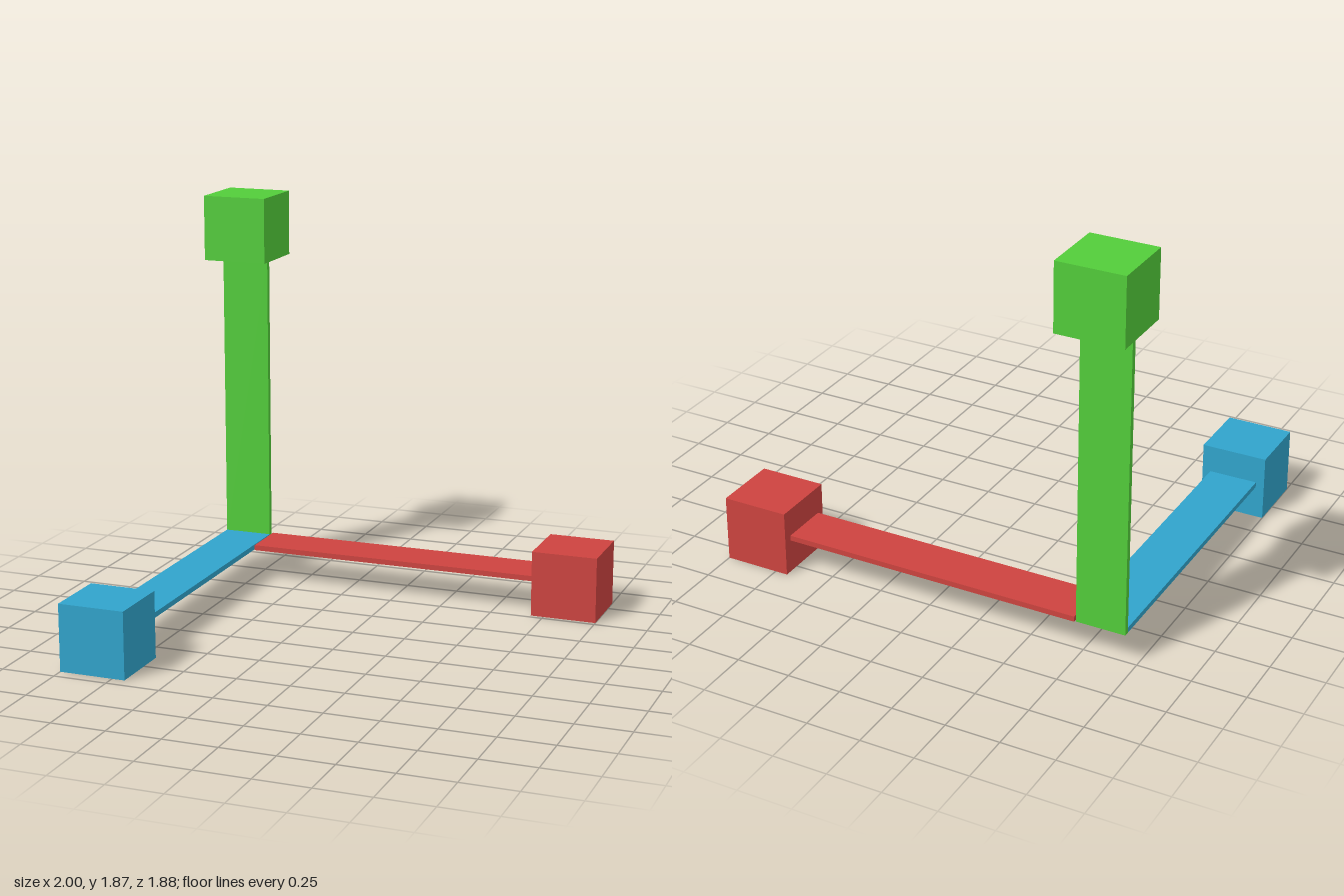
import * as THREE from 'three';

const CUBE = 0.31;

// Box spanning two opposite corners
function box(name, color, min, max) {
  const size = max.map((v, i) => v - min[i]);
  const mesh = new THREE.Mesh(
    new THREE.BoxGeometry(...size),
    new THREE.MeshStandardMaterial({ color, flatShading: true })
  );
  mesh.position.set(...max.map((v, i) => (v + min[i]) / 2));
  mesh.name = name;
  return mesh;
}

// One axis: a flat arm with a cube at its tip
function axis(name, color, armMin, armMax, cubeMin) {
  const group = new THREE.Group();
  group.name = name;
  group.add(
    box(name + 'Arm', color, armMin, armMax),
    box(name + 'Cube', color, cubeMin, cubeMin.map(v => v + CUBE))
  );
  return group;
}

export function createModel() {
  const model = new THREE.Group();
  model.name = 'axisMarker';
  model.add(
    // sideways arm, lying flat
    axis('sideways', 0xcc433f, [-0.725, 0.155, -0.79], [0.69, 0.18, -0.56], [0.69, 0, -0.832]),
    // upright arm, thin from front to back
    axis('upright', 0x52cc3a, [-0.96, 0.155, -0.785], [-0.73, 1.56, -0.76], [-1, 1.558, -0.942]),
    // forward arm, lying flat
    axis('forward', 0x30a3cb, [-0.96, 0.155, -0.76], [-0.73, 0.18, 0.632], [-1, 0, 0.632])
  );
  return model;
}
